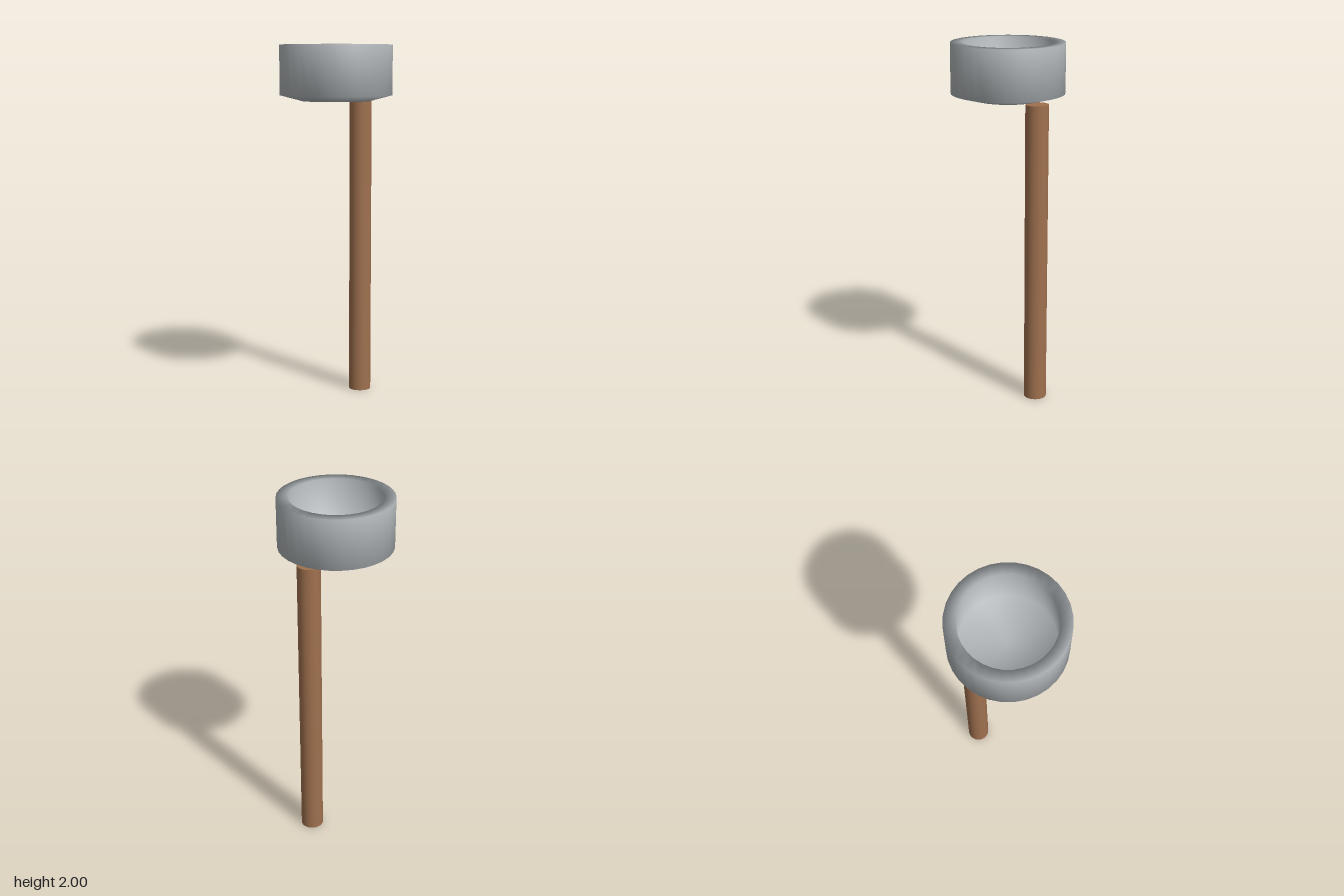
import * as THREE from 'three';

const metal = new THREE.MeshStandardMaterial({ color: 0xb0b5b8 });
metal.name = 'grey metal';
const wood = new THREE.MeshStandardMaterial({ color: 0xa0714f });
wood.name = 'brown wood';

export function createModel() {
  const model = new THREE.Group();
  model.name = 'cupOnHandle';

  // Cup: one smooth profile, up the outside, over the rim and down the inside
  const profile = [
    [0, 1.693], [0.19, 1.693], [0.312, 1.725], [0.312, 2],
    [0.249, 2], [0.249, 1.755], [0, 1.755],
  ].map(([r, y]) => new THREE.Vector2(r, y));
  const cup = new THREE.Mesh(new THREE.LatheGeometry(profile, 32), metal);
  cup.name = 'cup';
  model.add(cup);

  // Handle: round pole set towards the back of the cup
  const height = 1.69;
  const handle = new THREE.Mesh(new THREE.CylinderGeometry(0.063, 0.063, height, 32), wood);
  handle.name = 'handle';
  handle.position.set(0, height / 2, -0.219);
  model.add(handle);

  return model;
}
